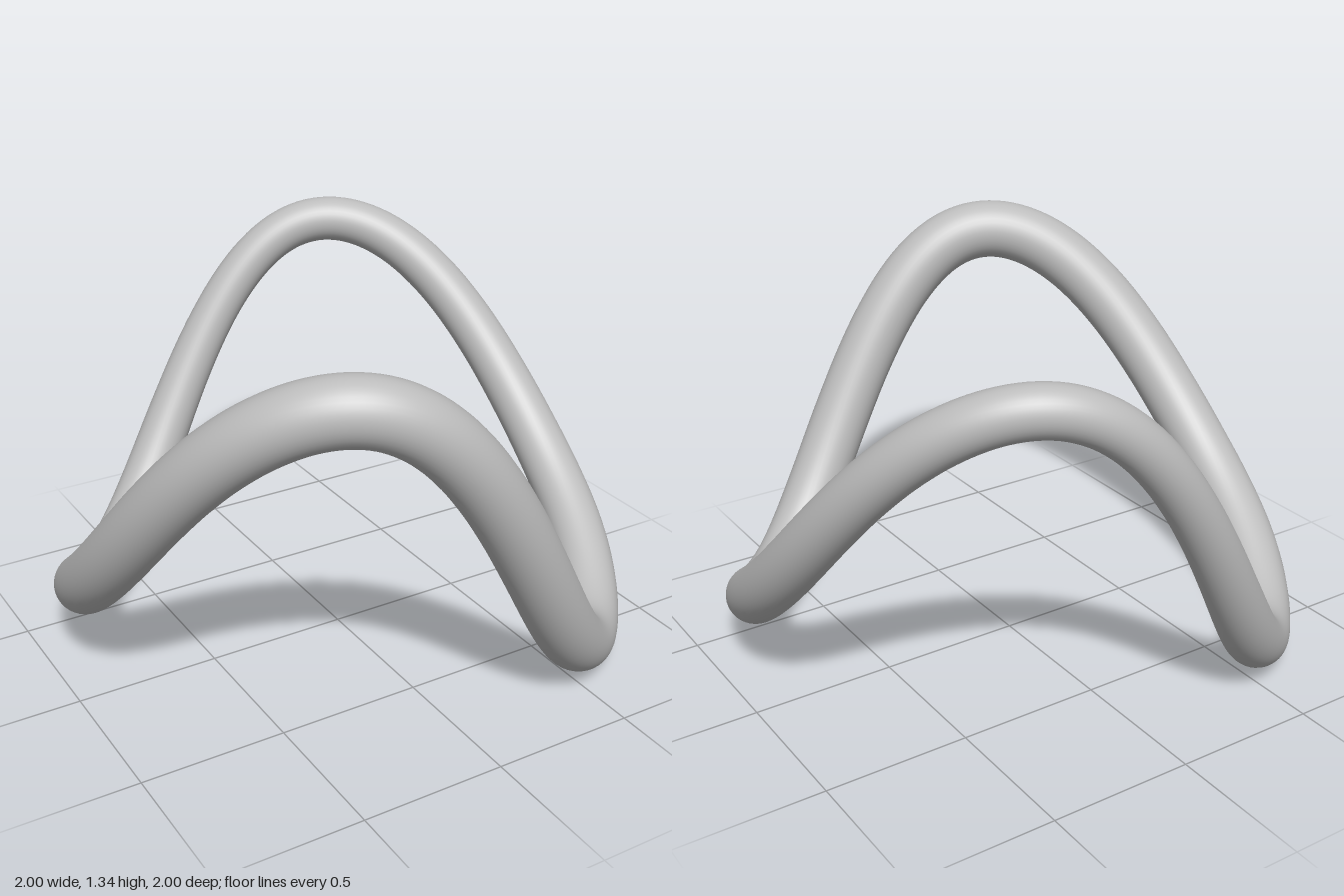
import * as THREE from 'three';

const grey = new THREE.MeshStandardMaterial({ color: 0xbdbdbd });
grey.name = 'plain grey';

// Tube radius every 30 degrees, slimmer towards the back right of the ring
const radii = [0.0975, 0.089, 0.082, 0.081, 0.098, 0.107, 0.107, 0.107, 0.107, 0.107, 0.107, 0.104];
const radiusCurve = new THREE.CatmullRomCurve3(
  radii.map((r) => new THREE.Vector3(r, 0, 0)), true, 'catmullrom');
const radiusAt = (t) => radiusCurve.getPoint(((t % 1) + 1) % 1).x;

// Saddle-shaped centre line: a circle from above, two crests and two dips
function centreAt(t) {
  const a = t * Math.PI * 2, u = 2 * a;
  const R = 0.999 - radiusAt(t);
  const y = 0.655 - 0.2 * Math.cos(u) + 0.52 * Math.sin(u)
    + 0.03 * Math.cos(2 * u) - 0.07 * Math.sin(2 * u) - 0.02 * Math.cos(3 * u);
  return new THREE.Vector3(R * Math.cos(a), y, -R * Math.sin(a));
}

// Closed round tube swept along the centre line
function createRing(segments, sides) {
  const positions = [], index = [];
  for (let i = 0; i < segments; i++) {
    const t = i / segments, a = t * Math.PI * 2, r = radiusAt(t);
    const centre = centreAt(t);
    const tangent = centreAt(t + 0.001).sub(centreAt(t - 0.001)).normalize();
    const out = new THREE.Vector3(Math.cos(a), 0, -Math.sin(a));
    out.addScaledVector(tangent, -out.dot(tangent)).normalize();
    const up = tangent.clone().cross(out);
    for (let j = 0; j < sides; j++) {
      const p = (j / sides) * Math.PI * 2;
      const v = centre.clone()
        .addScaledVector(out, r * Math.cos(p))
        .addScaledVector(up, r * Math.sin(p));
      positions.push(v.x, v.y, v.z);
      const i2 = (i + 1) % segments, j2 = (j + 1) % sides;
      const A = i * sides + j, B = i * sides + j2;
      const C = i2 * sides + j, D = i2 * sides + j2;
      index.push(A, B, C, B, D, C);
    }
  }
  const geometry = new THREE.BufferGeometry();
  geometry.setAttribute('position', new THREE.Float32BufferAttribute(positions, 3));
  geometry.setIndex(index);
  geometry.computeVertexNormals();
  return geometry;
}

export function createModel() {
  const group = new THREE.Group();
  group.name = 'saddleRing';
  const ring = new THREE.Mesh(createRing(240, 40), grey);
  ring.name = 'wavyRing';
  // Rest the lowest point on the ground
  ring.geometry.computeBoundingBox();
  ring.position.y = -ring.geometry.boundingBox.min.y;
  group.add(ring);
  return group;
}
